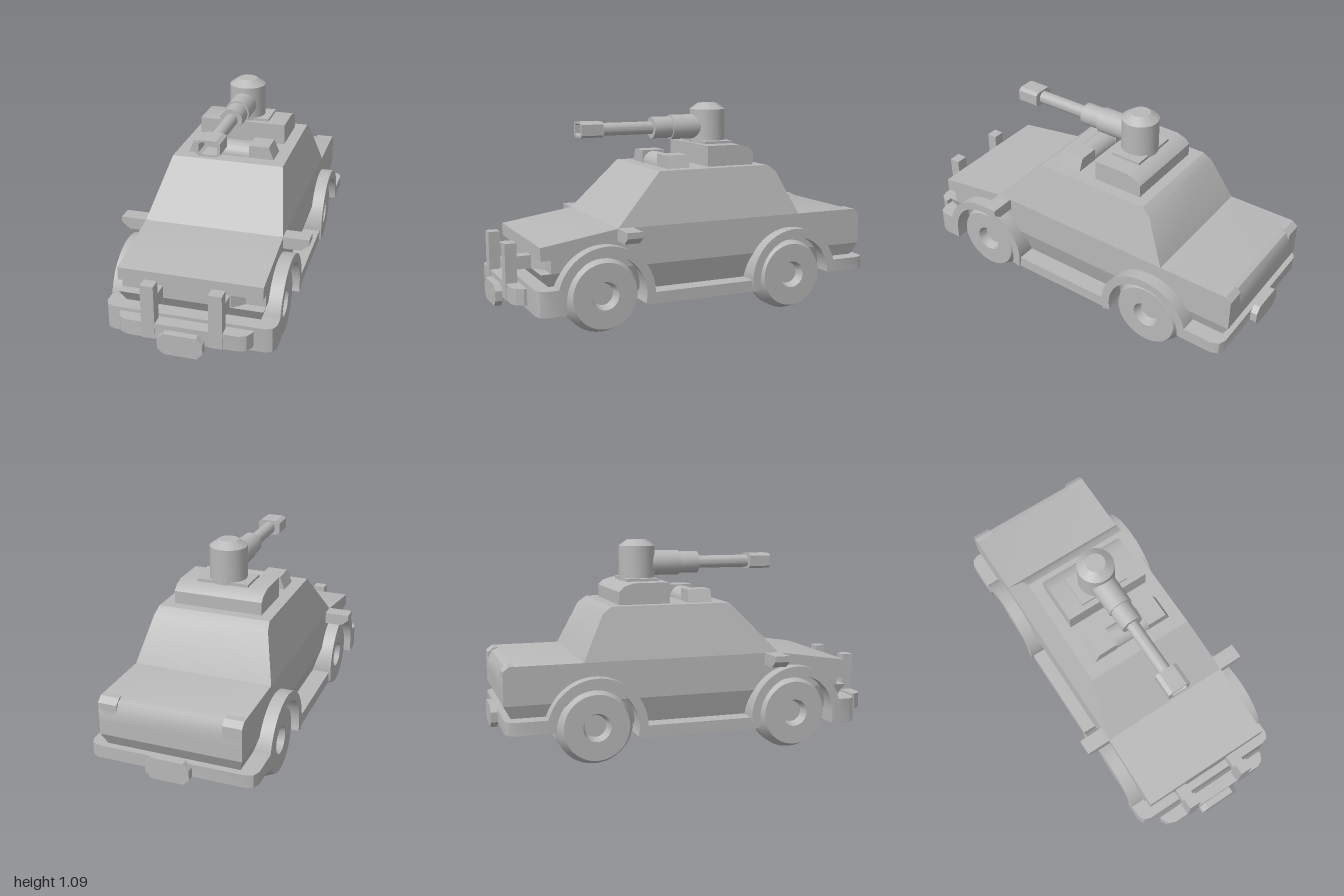
import * as THREE from 'three';
import { toCreasedNormals } from 'three/addons/utils/BufferGeometryUtils.js';

export function createModel() {
  const model = new THREE.Group();
  const grey = new THREE.MeshStandardMaterial({ color: 0xb8b8b8 });
  grey.name = 'grey';

  function add(name, geo, x = 0, y = 0, z = 0) {
    const mesh = new THREE.Mesh(toCreasedNormals(geo, 0.5), grey);
    mesh.name = name;
    mesh.position.set(x, y, z);
    model.add(mesh);
    return mesh;
  }
  const polygon = (pts) => new THREE.Shape(pts.map(([a, b]) => new THREE.Vector2(a, b)));
  const extrude = (shape, depth) =>
    new THREE.ExtrudeGeometry(shape, { depth, bevelEnabled: false, curveSegments: 24 });

  // Side profile of [z, y] points, from x0 to x1
  function across(shape, x0, x1) {
    const geo = extrude(shape, x1 - x0);
    geo.translate(0, 0, -x1);
    return geo.rotateY(-Math.PI / 2);
  }
  // Side profile whose half width runs from w0 at y0 to w1 at y1
  function tapered(pts, y0, w0, y1, w1) {
    const geo = across(polygon(pts), -1, 1);
    const p = geo.attributes.position;
    for (let i = 0; i < p.count; i++) {
      p.setX(i, p.getX(i) * (w0 + (w1 - w0) * (p.getY(i) - y0) / (y1 - y0)));
    }
    geo.computeVertexNormals();
    return geo;
  }
  // Plan outline of [x, z] points on the +x half, mirrored, from y0 to y1
  function plan(half, y0, y1) {
    const other = half.map(([x, z]) => [-x, z]).reverse();
    const geo = extrude(polygon([...half, ...other]), y1 - y0);
    return geo.rotateX(Math.PI / 2).translate(0, y1, 0);
  }
  // Turned shape of [radius, height] points
  const turned = (pts, n = 32) =>
    new THREE.LatheGeometry(pts.map(([r, h]) => new THREE.Vector2(r, h)), n);
  const box = (name, x0, x1, y0, y1, z0, z1) =>
    add(name, new THREE.BoxGeometry(x1 - x0, y1 - y0, z1 - z0),
      (x0 + x1) / 2, (y0 + y1) / 2, (z0 + z1) / 2);

  // Body shell
  add('lowerBody', tapered([[0.84, 0.325], [0.8, 0.26], [0.76, 0.19], [-0.74, 0.19],
    [-0.74, 0.26], [-0.93, 0.26], [-0.965, 0.325]], 0.26, 0.335, 0.325, 0.355));
  add('grilleBand', plan([[0.355, -0.965], [0.355, 0.79], [0.26, 0.79], [0.2, 0.84]], 0.325, 0.39));
  add('upperBody', across(polygon([[0.84, 0.39], [0.84, 0.455], [0.45, 0.515], [-0.91, 0.515],
    [-0.945, 0.5], [-0.965, 0.46], [-0.965, 0.39]]), -0.355, 0.355));
  add('cabin', tapered([[0.45, 0.515], [0.2, 0.775], [-0.42, 0.775], [-0.465, 0.742],
    [-0.575, 0.515]], 0.515, 0.355, 0.775, 0.29));

  // Floor with sills, and bumpers
  add('floor', plan([[0.3, -0.71], [0.3, -0.3], [0.41, -0.3], [0.41, 0.31], [0.3, 0.31],
    [0.3, 0.8]], 0.135, 0.195));
  add('frontBumper', plan([[0.42, 0.735], [0.42, 0.83], [0.405, 0.862], [0.37, 0.875]], 0.133, 0.26));
  add('rearBumper', plan([[0.37, -0.965], [0.405, -0.95], [0.42, -0.915], [0.42, -0.73]], 0.195, 0.26));

  // Wheels, arches, mirrors, tail lamps and guard uprights on both sides
  const tyre = [[0, -0.0975], [0.165, -0.0975], [0.195, -0.03], [0.195, 0.03], [0.165, 0.0975],
    [0.07, 0.0975], [0.055, 0.05], [0, 0.05]];
  for (const s of [1, -1]) {
    const span = (a, b) => (s > 0 ? [a, b] : [-b, -a]);
    for (const z of [0.53, -0.52]) {
      const end = z > 0 ? 'front' : 'rear';
      add(end + 'Wheel', turned(tyre, 40).rotateZ(-s * Math.PI / 2), s * 0.2925, 0.197, z);
      const a0 = z > 0 ? 0 : -0.25;
      const a1 = Math.PI + (z > 0 ? 0.25 : 0);
      const ring = new THREE.Shape();
      ring.absarc(0, 0, 0.25, a0, a1, false);
      ring.absarc(0, 0, 0.205, a1, a0, true);
      add(end + 'WheelArch', across(ring, ...span(0.3, 0.42)), 0, 0.197, z);
    }
    const mirror = [[0.34, 0.455], [0.445, 0.455], [0.485, 0.487], [0.485, 0.517], [0.34, 0.517]];
    add('sideMirror', extrude(polygon(mirror.map(([x, y]) => [s * x, y])), 0.08), 0, 0, 0.373);
    add('tailLampCorner', across(polygon([[-0.9, 0.4], [-0.9, 0.515], [-0.935, 0.515],
      [-0.965, 0.49], [-0.965, 0.4]]), ...span(0.26, 0.355)));
    box('guardUpright', ...span(0.13, 0.195), 0.178, 0.455, 0.91, 0.968);
    box('guardBracket', ...span(0.13, 0.195), 0.325, 0.39, 0.8, 0.915);

    // Outer blocks of the roof light
    add('roofLightEnd', extrude(polygon([[0.095, 0.77], [0.228, 0.77], [0.2, 0.84],
      [0.095, 0.84]].map(([x, y]) => [s * x, y])), 0.125), 0, 0, 0.003);
  }
  add('guardCrossbar', plan([[0.325, 0.9], [0.325, 0.915], [0.305, 0.95], [0.27, 0.965]], 0.18, 0.26));

  // Registration plates, plain octagons
  const octagon = polygon([[0.08, -0.055], [0.11, -0.025], [0.11, 0.025], [0.08, 0.055],
    [-0.08, 0.055], [-0.11, 0.025], [-0.11, -0.025], [-0.08, -0.055]]);
  add('frontPlate', extrude(octagon, 0.035), 0, 0.18, 0.965);
  add('rearPlate', extrude(octagon, 0.035), 0, 0.22, -1);

  // Rounded middle of the roof light
  add('roofLightCentre', new THREE.CylinderGeometry(0.06, 0.06, 0.2, 24).rotateZ(Math.PI / 2),
    0, 0.775, 0.065);

  // Turret
  add('turretBase', across(polygon([[-0.1, 0.77], [-0.1, 0.882], [-0.29, 0.882], [-0.34, 0.865],
    [-0.365, 0.84], [-0.365, 0.77]]), -0.23, 0.23));
  box('turretPlate', -0.135, 0.135, 0.88, 0.895, -0.295, -0.13);
  add('turretDrum', turned([[0.095, 0.88], [0.095, 1.06], [0.05, 1.092], [0, 1.092]]), 0, 0, -0.21);

  // Gun, turned along z
  add('gunBarrel', turned([[0, -0.2], [0.065, -0.2], [0.065, 0.015], [0.057, 0.015],
    [0.057, 0.12], [0.033, 0.12], [0.033, 0.43], [0, 0.43]], 24).rotateX(Math.PI / 2), 0, 0.968, 0);
  const outline = (k) => [[0.04, -0.04], [0.06, -0.028], [0.06, 0.028], [0.04, 0.04],
    [-0.04, 0.04], [-0.06, 0.028], [-0.06, -0.028], [-0.04, -0.04]].map(([x, y]) => [x * k, y * k]);
  const muzzle = polygon(outline(1));
  muzzle.holes.push(polygon(outline(0.75).reverse()));
  add('muzzle', extrude(muzzle, 0.1), 0, 0.97, 0.425);
  add('muzzleBack', extrude(polygon(outline(1)), 0.02), 0, 0.97, 0.407);

  return model;
}
